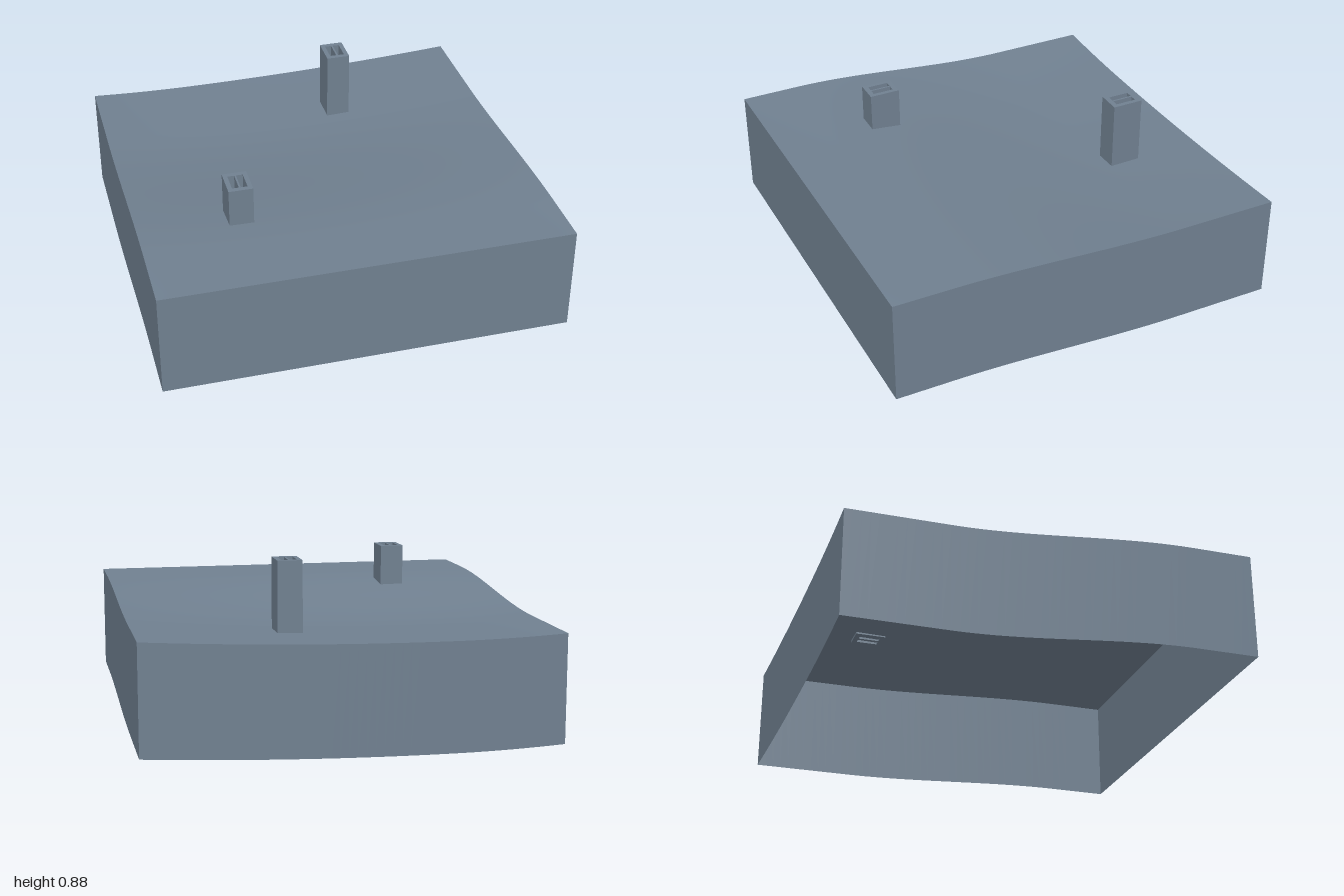
import * as THREE from 'three';

const DEPTH = 0.53;

// Height of the gently rolling ground at (x, z)
function groundHeight(x, z) {
  const u = THREE.MathUtils.smoothstep(-z, -0.7, 0.5);
  const d = x + 0.45;
  const backRise = (d > 0 ? 0.024 : 0.055) * d * d;
  const dip = 0.018 * (1 - x * x) * (1 - z * z);
  return 0.63 - u * (0.1 - backRise) - dip;
}

export function createModel() {
  const group = new THREE.Group();
  const slate = new THREE.MeshStandardMaterial({ color: 0x708090, side: THREE.DoubleSide });
  slate.name = 'slate';

  const add = (name, geometry) => {
    const mesh = new THREE.Mesh(geometry, slate);
    mesh.name = name;
    group.add(mesh);
    return mesh;
  };

  // Ground sheet
  const ground = new THREE.PlaneGeometry(2, 2, 48, 48).rotateX(-Math.PI / 2);
  const gp = ground.attributes.position;
  for (let i = 0; i < gp.count; i++) gp.setY(i, groundHeight(gp.getX(i), gp.getZ(i)));
  ground.computeVertexNormals();
  add('ground', ground);

  // Skirt walls of constant depth that follow the ground edge; the bottom is open
  ['frontWall', 'leftWall', 'backWall', 'rightWall'].forEach((name, k) => {
    const wall = new THREE.PlaneGeometry(2, 1, 48, 1).translate(0, 0, 1).rotateY(k * Math.PI / 2);
    const p = wall.attributes.position;
    for (let i = 0; i < p.count; i++) {
      const top = groundHeight(p.getX(i), p.getZ(i));
      p.setY(i, p.getY(i) > 0 ? top : top - DEPTH);
    }
    add(name, wall);
  });

  // Hollow chimneys with two flues each
  const rect = (Type, x, w, h) => new Type([
    new THREE.Vector2(x - w / 2, -h / 2), new THREE.Vector2(x + w / 2, -h / 2),
    new THREE.Vector2(x + w / 2, h / 2), new THREE.Vector2(x - w / 2, h / 2),
  ]);
  const addChimney = (name, x, z, top) => {
    const base = groundHeight(x, z) - 0.01;
    const shape = rect(THREE.Shape, 0, 0.12, 0.156);
    for (const side of [-1, 1]) shape.holes.push(rect(THREE.Path, side * 0.021, 0.033, 0.105));
    const geometry = new THREE.ExtrudeGeometry(shape, { depth: top - base, bevelEnabled: false });
    geometry.rotateX(-Math.PI / 2);
    add(name, geometry).position.set(x, base, z);
  };
  addChimney('shortChimney', -0.5, 0.417, 0.805);
  addChimney('tallChimney', 0.25, -0.583, 0.877);

  return group;
}
